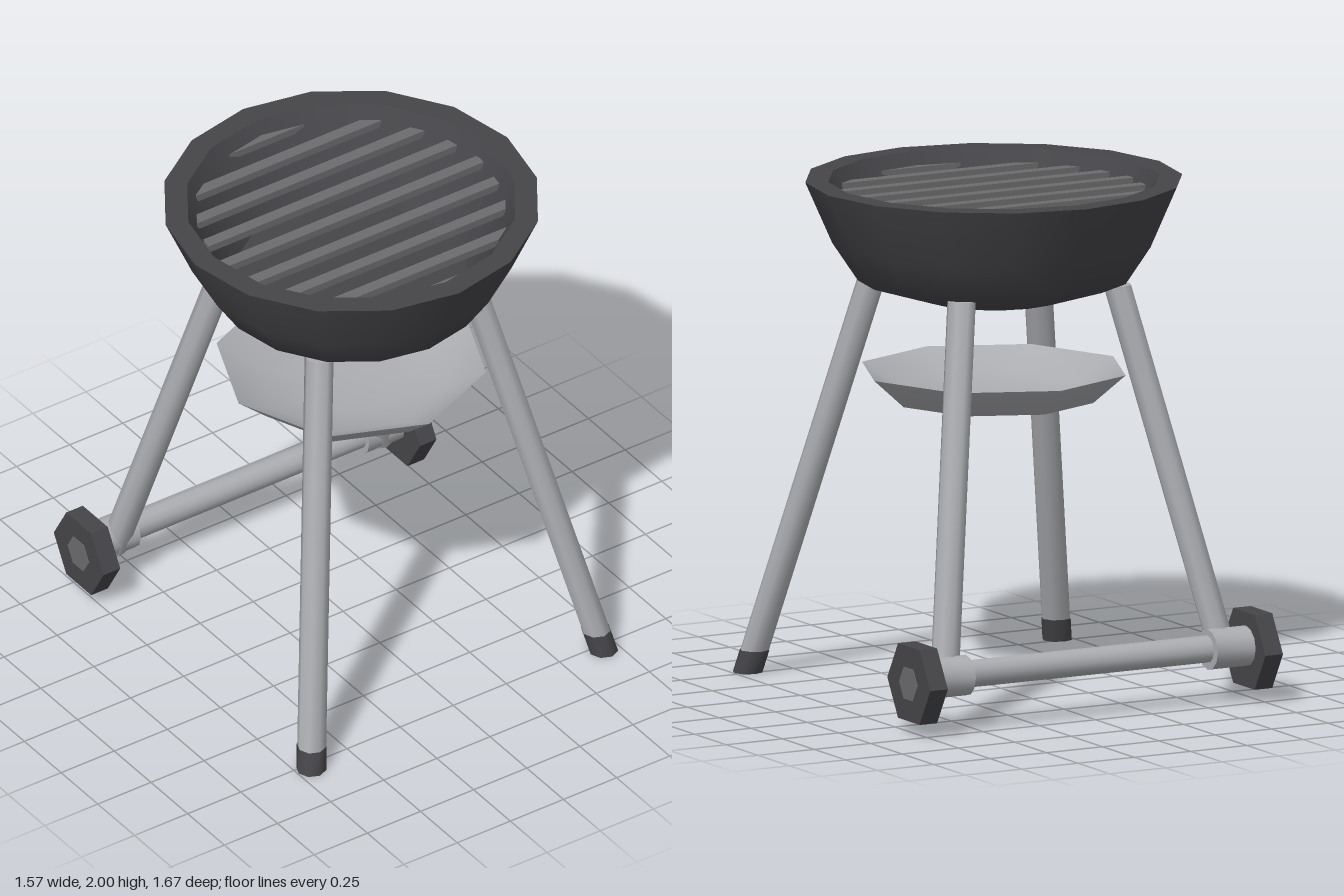
import * as THREE from 'three';
import { toCreasedNormals } from 'three/addons/utils/BufferGeometryUtils.js';

const charcoal = new THREE.MeshStandardMaterial({ name: 'charcoal', color: 0x464549 });
const grey = new THREE.MeshStandardMaterial({ name: 'midGrey', color: 0x6c6c6e });
const steel = new THREE.MeshStandardMaterial({ name: 'steel', color: 0xacadb1 });

const CENTRE_Z = 0.055;
const V = (x, y, z) => new THREE.Vector3(x, y, z);

export function createModel() {
  const group = new THREE.Group();

  const add = (name, geometry, material, crease = 0.9) => {
    const mesh = new THREE.Mesh(toCreasedNormals(geometry, crease), material);
    mesh.name = name;
    group.add(mesh);
    return mesh;
  };

  // Closed turned body, profile running from bottom centre over the rim to inner centre
  const turned = (name, profile, sides, material) => {
    const points = profile.map(([r, y]) => new THREE.Vector2(r, y));
    add(name, new THREE.LatheGeometry(points, sides), material).position.z = CENTRE_Z;
  };

  // Slanted tube with level ends
  const slanted = (name, bottom, top, radius, material) => {
    const geometry = new THREE.CylinderGeometry(radius, radius, 1, 8);
    const middle = bottom.clone().lerp(top, 0.5);
    geometry.applyMatrix4(new THREE.Matrix4()
      .makeBasis(V(1, 0, 0), top.clone().sub(bottom), V(0, 0, 1))
      .setPosition(middle));
    add(name, geometry, material);
  };

  // Round or faceted bar along x
  const along = (name, x0, x1, y, z, radius, sides, material) => {
    const geometry = new THREE.CylinderGeometry(radius, radius, x1 - x0, sides);
    geometry.rotateZ(Math.PI / 2);
    geometry.translate((x0 + x1) / 2, y, z);
    add(name, geometry, material);
  };

  // Bowl and ash tray
  turned('bowl', [[0, 1.525], [0.27, 1.53], [0.53, 1.61], [0.63, 1.76], [0.735, 2],
    [0.645, 2], [0.455, 1.66], [0, 1.66]], 16, charcoal);
  turned('ashTray', [[0, 1.105], [0.22, 1.107], [0.4, 1.135], [0.53, 1.25],
    [0.38, 1.165], [0.2, 1.14], [0, 1.14]], 8, steel);

  // Grate bars, trimmed to a sixteen-sided outline
  const R = 0.61;
  const step = Math.PI / 8;
  const halfWidth = (z) => Math.max(0, Math.min(...[0, 1, 2, 3].map((i) => {
    const a = (i + 0.5) * step;
    return (R * Math.cos(step / 2) - Math.abs(z) * Math.cos(a)) / Math.sin(a);
  })));
  const corners = Array.from({ length: 9 }, (_, i) => -R * Math.cos(i * step));
  for (let k = -4; k <= 4; k++) {
    const z0 = Math.max(-R, k * 0.15 - 0.025);
    const z1 = Math.min(R, k * 0.15 + 0.025);
    const zs = [z0, ...corners.filter((z) => z > z0 + 1e-4 && z < z1 - 1e-4), z1];
    const outline = [
      ...zs.map((z) => new THREE.Vector2(halfWidth(z), z)),
      ...[...zs].reverse().filter((z) => halfWidth(z) > 1e-4)
        .map((z) => new THREE.Vector2(-halfWidth(z), z)),
    ];
    const geometry = new THREE.ExtrudeGeometry(new THREE.Shape(outline),
      { depth: 0.03, bevelEnabled: false });
    geometry.rotateX(Math.PI / 2);
    add('grateBar', geometry, grey, 0.3).position.set(0, 1.95, CENTRE_Z);
  }

  for (const s of [-1, 1]) {
    const side = s > 0 ? 'left' : 'right';

    // Front leg with dark foot
    const foot = V(s * 0.687, 0, 0.777);
    const top = V(s * 0.365, 1.6, 0.365);
    const joint = foot.clone().lerp(top, 0.09 / 1.6);
    slanted(side + 'FrontLeg', joint, top, 0.057, steel);
    slanted(side + 'FrontFoot', foot, joint, 0.059, charcoal);

    // Rear leg ending in the axle sleeve
    slanted(side + 'RearLeg', V(s * 0.625, 0.16, -0.665), V(s * 0.345, 1.61, -0.305), 0.057, steel);

    // Sleeve, wheel and hub plate
    const span = (a, b) => (s > 0 ? [a, b] : [-b, -a]);
    along(side + 'AxleSleeve', ...span(0.537, 0.71), 0.215, -0.68, 0.08, 12, steel);
    along(side + 'Wheel', ...span(0.705, 0.783), 0.2, -0.667, 0.17, 6, charcoal);
    along(side + 'WheelHub', ...span(0.78, 0.786), 0.2, -0.667, 0.072, 6, grey);
  }

  along('axle', -0.56, 0.56, 0.217, -0.675, 0.054, 12, steel);

  return group;
}
